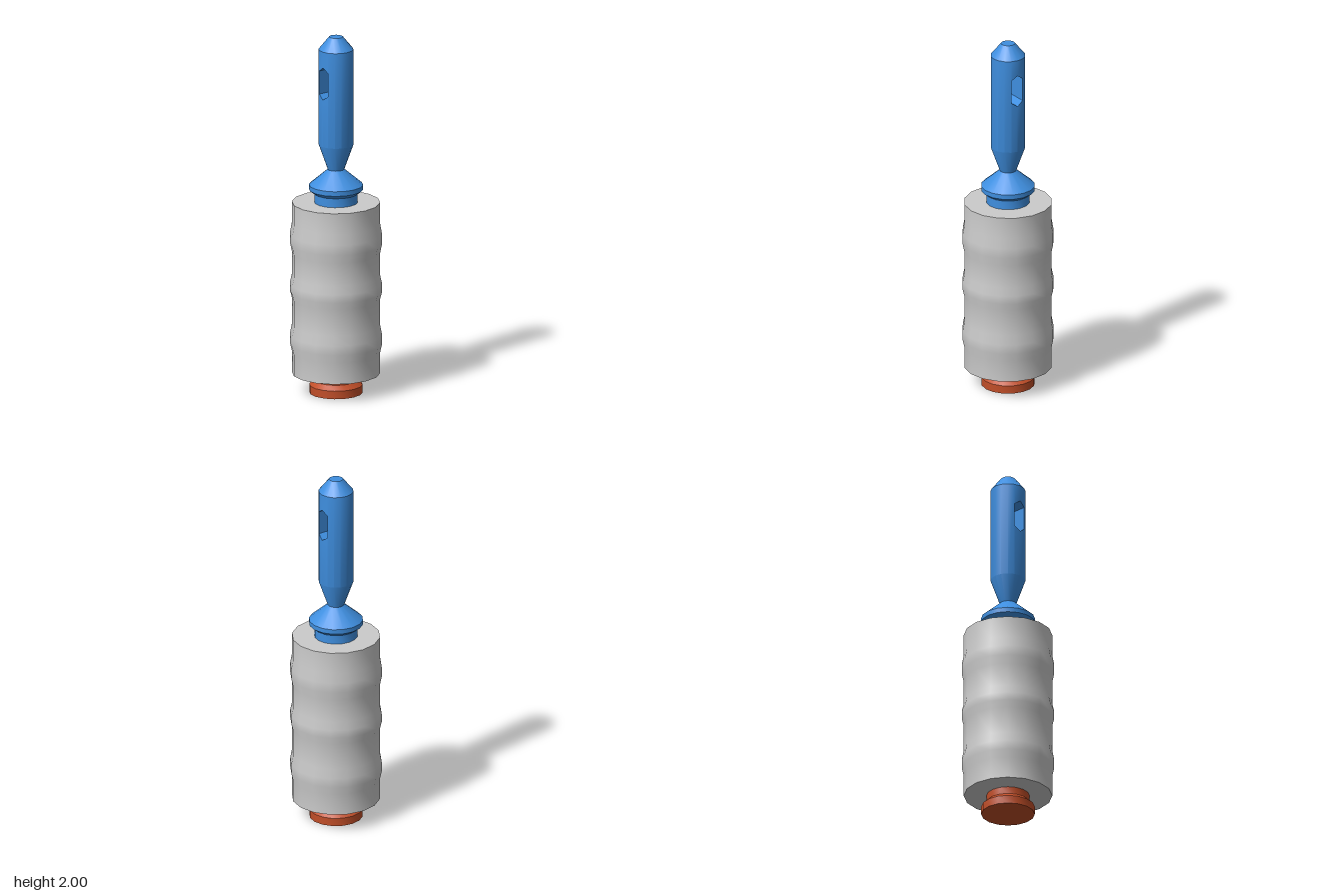
import * as THREE from 'three';
import { mergeGeometries, toCreasedNormals } from 'three/addons/utils/BufferGeometryUtils.js';

const SIDES = 16;

// Smooth round the body, sharp at steps (scaled up so close points stay distinct)
function crease(geometry) {
  return toCreasedNormals(geometry.scale(100, 100, 100), 0.5).scale(0.01, 0.01, 0.01);
}

// Turned shape from [radius, y] pairs, bottom to top, without UVs
function turned(profile) {
  const g = new THREE.LatheGeometry(profile.map(([r, y]) => new THREE.Vector2(r, y)), SIDES).toNonIndexed();
  g.deleteAttribute('uv');
  g.deleteAttribute('normal');
  return g;
}

// Straight length of rod with a pointed slot running through it along z
function slottedRod(radius, y0, y1, slot) {
  const pos = [];
  const quad = (a, b, c, d) => pos.push(...a, ...b, ...c, ...a, ...c, ...d);
  const at = (j, y) => {
    const t = (j / SIDES) * Math.PI * 2;
    return [radius * Math.sin(t), y, radius * Math.cos(t)];
  };
  const half = SIDES / 2;
  for (let j = 0; j < SIDES; j++) {
    const k = j + 1;
    const isSlotted = j % half === 0 || k % half === 0;
    if (!isSlotted) {
      quad(at(j, y0), at(k, y0), at(k, y1), at(j, y1));
      continue;
    }
    // Wall below and above the slot
    const [lowJ, highJ] = j % half === 0 ? slot.point : slot.shoulder;
    const [lowK, highK] = k % half === 0 ? slot.point : slot.shoulder;
    quad(at(j, y0), at(k, y0), at(k, lowK), at(j, lowJ));
    quad(at(j, highJ), at(k, highK), at(k, y1), at(j, y1));
  }
  // Inside walls of the slot
  const rim = [
    at(0, slot.point[0]), at(1, slot.shoulder[0]), at(1, slot.shoulder[1]),
    at(0, slot.point[1]), at(-1, slot.shoulder[1]), at(-1, slot.shoulder[0]),
  ];
  const back = ([x, y, z]) => [x, y, -z];
  rim.forEach((a, i) => {
    const b = rim[(i + 1) % rim.length];
    quad(a, b, back(b), back(a));
  });
  const g = new THREE.BufferGeometry();
  g.setAttribute('position', new THREE.Float32BufferAttribute(pos, 3));
  return g;
}

export function createModel() {
  const group = new THREE.Group();
  const add = (name, geometry, color) => {
    const mesh = new THREE.Mesh(crease(geometry), new THREE.MeshStandardMaterial({ color }));
    mesh.name = name;
    group.add(mesh);
  };

  // Foot button
  add('endButton', turned([
    [0, 0], [0.145, 0], [0.145, 0.045], [0.117, 0.07], [0.117, 0.11], [0, 0.11],
  ]), 0xc14e28);

  // Grip with three soft raised bands
  const grip = [[0, 0.11], [0.24, 0.11]];
  for (const [low, high] of [[0.23, 0.38], [0.53, 0.66], [0.79, 0.95]]) {
    const h = high - low;
    grip.push([0.24, low], [0.25, low + h * 0.3], [0.25, low + h * 0.65], [0.24, high]);
  }
  grip.push([0.24, 1.07], [0, 1.07]);
  add('grip', turned(grip), 0xcccccc);

  // Collar, neck, slotted shaft and bevelled tip
  const R = 0.095;
  add('slottedShaft', mergeGeometries([
    turned([
      [0, 1.07], [0.118, 1.07], [0.118, 1.12], [0.147, 1.142], [0.147, 1.168],
      [0.045, 1.255], [R, 1.395],
    ]),
    slottedRod(R, 1.395, 1.93, { point: [1.66, 1.84], shoulder: [1.685, 1.815] }),
    turned([[R, 1.93], [0.038, 2], [0, 2]]),
  ]), 0x3f8fe0);

  return group;
}
